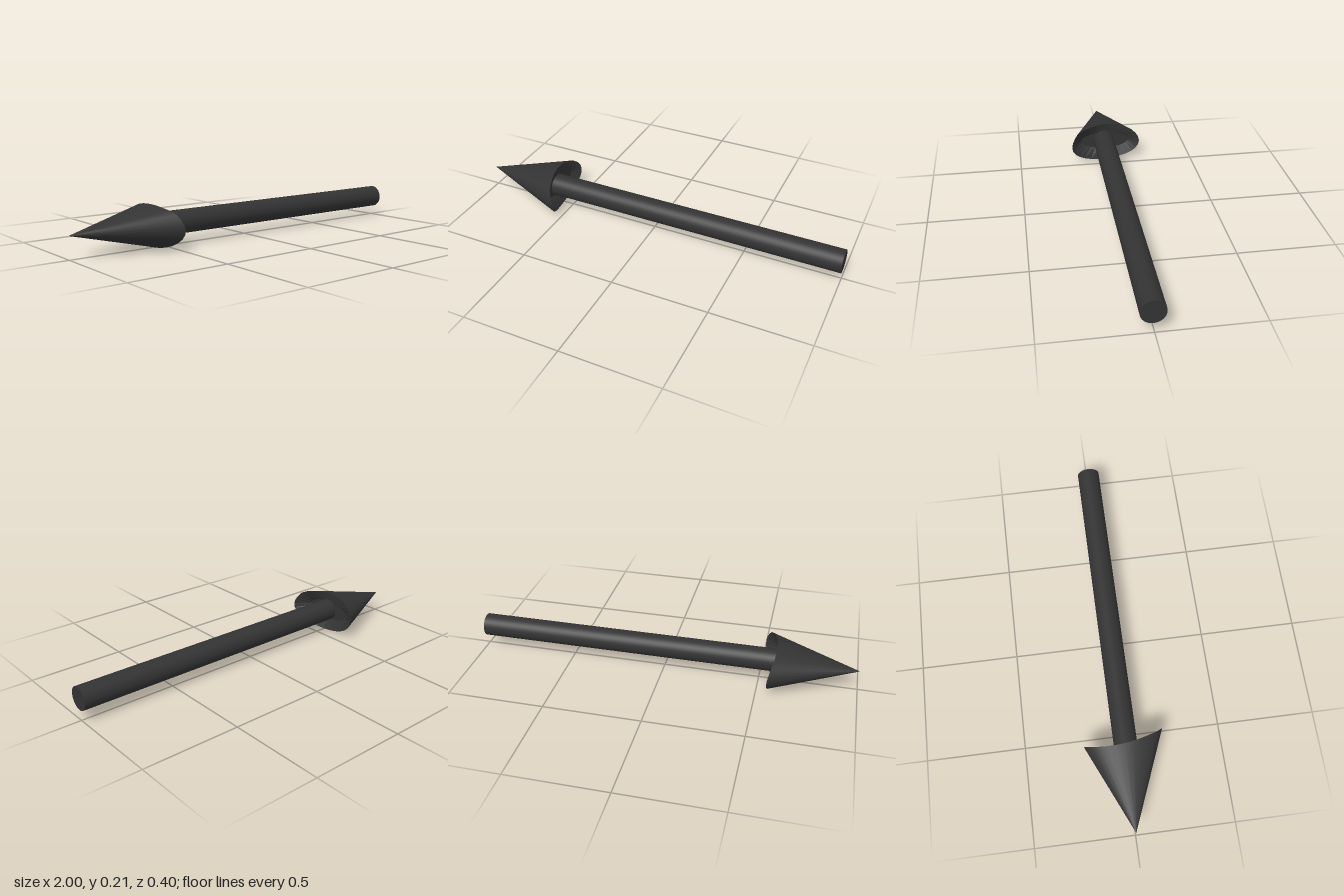
import * as THREE from 'three';

const SIDES = 28, AXIS_Y = 0.108;

// Point on the oval, wavy rim of the head
function rimPoint(i) {
  const a = (i % SIDES) / SIDES * Math.PI * 2;
  const c = Math.cos(a), s = Math.sin(a);
  const bulge = 1 + 0.06 * Math.exp(-(((a - 0.72) / 0.25) ** 2));
  const x = -0.552 + 0.023 * c - 0.0115 * s + 0.019 * Math.cos(2 * a);
  return [x, AXIS_Y + 0.107 * s * bulge, 0.2 * c * bulge];
}

// Point on the edge of the shallow recess behind the head
function recessPoint(i) {
  const a = (i % SIDES) / SIDES * Math.PI * 2;
  return [-0.59, AXIS_Y + 0.05 * Math.sin(a), 0.14 * Math.cos(a)];
}

function build(points, index) {
  const g = new THREE.BufferGeometry();
  g.setAttribute('position', new THREE.Float32BufferAttribute(points.flat(), 3));
  if (index) g.setIndex(index);
  g.computeVertexNormals();
  return g;
}

export function createModel() {
  const group = new THREE.Group();
  const color = 0x333333;
  const add = (name, geometry, flatShading = false) => {
    const material = new THREE.MeshStandardMaterial({ color, flatShading, side: THREE.DoubleSide });
    const mesh = new THREE.Mesh(geometry, material);
    mesh.name = name;
    group.add(mesh);
    return mesh;
  };

  // Smooth pointed head, flattened in height
  const cone = [], coneIndex = [];
  for (let i = 0; i < SIDES; i++) {
    cone.push([-1, 0.111, 0], rimPoint(i));
    coneIndex.push(2 * i, 2 * i + 1, (2 * i + 3) % (2 * SIDES));
  }
  add('arrowHead', build(cone, coneIndex));

  // Faceted hollow back of the head
  const back = [], centre = [-0.59, AXIS_Y, 0];
  for (let i = 0; i < SIDES; i++) {
    const p = rimPoint(i), q = rimPoint(i + 1);
    const r = recessPoint(i), t = recessPoint(i + 1);
    back.push(r, q, p, r, t, q, centre, t, r);
  }
  add('headBack', build(back), true);

  // Round shaft, set into the head
  const shaft = add('shaft', new THREE.CylinderGeometry(0.059, 0.059, 1.6, 40));
  shaft.rotation.z = -Math.PI / 2;
  shaft.position.set(0.2, 0.111, 0.007);

  // Stand the lowest rim point on the ground
  const box = new THREE.Box3().setFromObject(group);
  group.children.forEach((m) => { m.position.y -= box.min.y; });
  return group;
}
